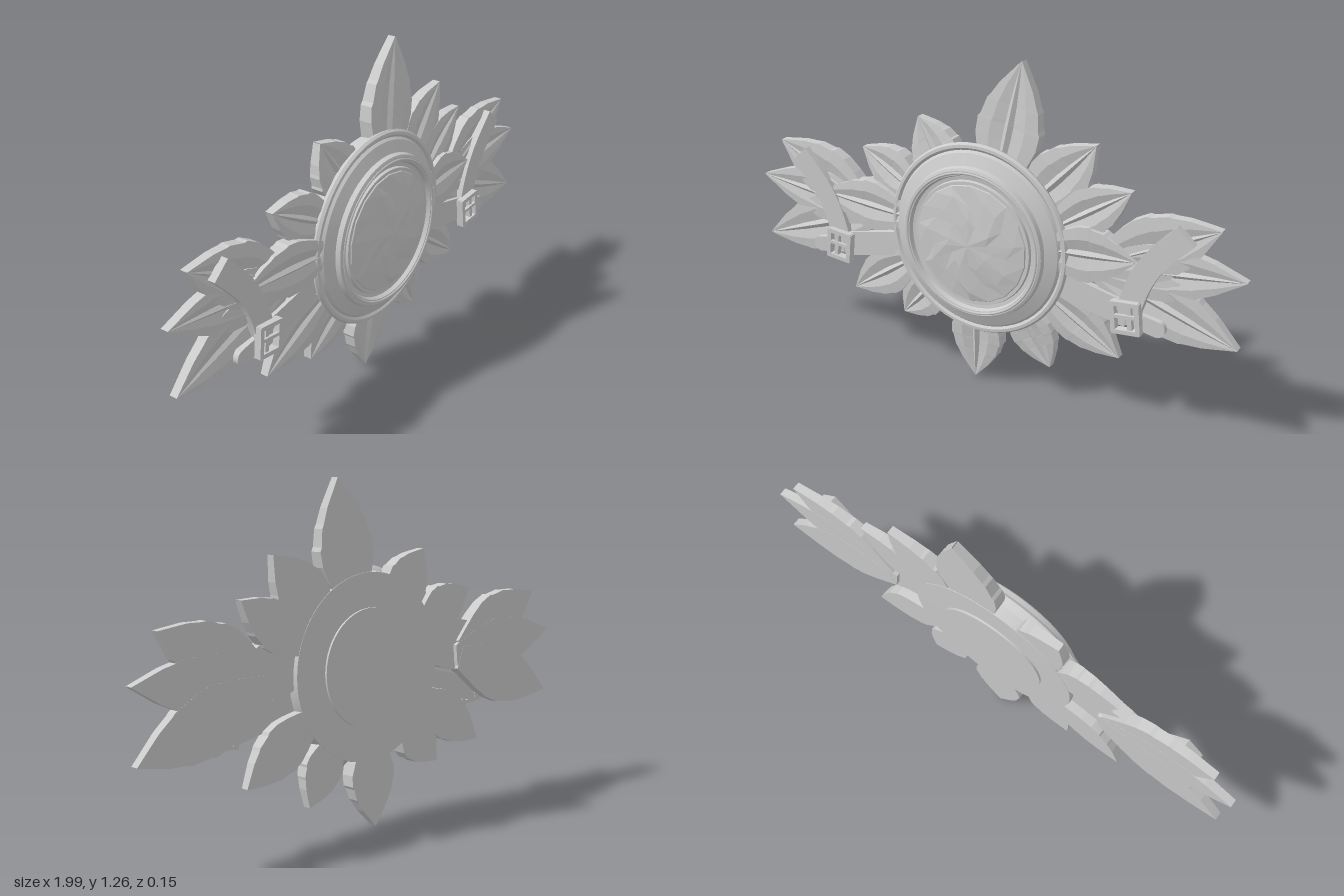
import * as THREE from 'three';
import { toCreasedNormals } from 'three/addons/utils/BufferGeometryUtils.js';

const CX = 0.01, CY = 0.59; // medallion centre

// Leaf outline: [position along the leaf, share of the half width], with small teeth
const OUTLINE = [[0, 0.4], [0.12, 0.62], [0.25, 0.84], [0.38, 1], [0.5, 1.02], [0.53, 0.95], [0.66, 0.84],
  [0.69, 0.76], [0.8, 0.55], [0.83, 0.47], [0.93, 0.2], [1, 0.01]];
// Cross-section: [share of the width, height], a midrib with a groove either side
const SECTION = [[-1, 0], [-0.55, 0.004], [-0.14, -0.007], [0, 0.005], [0.14, -0.007], [0.55, 0.004], [1, 0]];

function leafGeometry(tipX, tipY, rootX, rootY, half, zRoot, zTip, back) {
  const pos = [];
  const dx = tipX - rootX, dy = tipY - rootY, len = Math.hypot(dx, dy);
  const nx = -dy / len, ny = dx / len;
  const at = (t, v, z) => [rootX + dx * t + nx * v, rootY + dy * t + ny * v, z];
  const quad = (a, b, c, d) => pos.push(...a, ...b, ...c, ...a, ...c, ...d);
  const front = OUTLINE.map(([t, w]) => SECTION.map(([s, h]) =>
    at(t, s * w * half, zRoot + (zTip - zRoot) * t + h * w)));
  const rear = OUTLINE.map(([t, w]) => [-1, 0, 1].map((s) => at(t, s * w * half, back)));
  const n = SECTION.length - 1;
  for (let i = 0; i < OUTLINE.length - 1; i++) {
    const f0 = front[i], f1 = front[i + 1], r0 = rear[i], r1 = rear[i + 1];
    for (let j = 0; j < n; j++) quad(f0[j], f1[j], f1[j + 1], f0[j + 1]);
    for (let j = 0; j < 2; j++) quad(r0[j + 1], r1[j + 1], r1[j], r0[j]);
    quad(r0[0], r1[0], f1[0], f0[0]);
    quad(f0[n], f1[n], r1[2], r0[2]);
  }
  quad(rear[0][0], front[0][0], front[0][n], rear[0][2]); // root end
  const g = new THREE.BufferGeometry();
  g.setAttribute('position', new THREE.Float32BufferAttribute(pos, 3));
  g.computeVertexNormals();
  return g;
}

// Flat band of constant width along a smooth path
function bandGeometry(points, half, z, depth) {
  const curve = new THREE.SplineCurve(points.map((p) => new THREE.Vector2(...p)));
  const left = [], right = [];
  for (let i = 0; i <= 12; i++) {
    const p = curve.getPoint(i / 12), t = curve.getTangent(i / 12);
    left.push(new THREE.Vector2(p.x - t.y * half, p.y + t.x * half));
    right.unshift(new THREE.Vector2(p.x + t.y * half, p.y - t.x * half));
  }
  const g = new THREE.ExtrudeGeometry(new THREE.Shape([...left, ...right]), { depth, bevelEnabled: false });
  return g.translate(0, 0, z);
}

export function createModel() {
  const model = new THREE.Group();
  model.name = 'leafBrooch';
  const metal = new THREE.MeshStandardMaterial({ color: 0xcccccc });
  metal.name = 'pale grey';
  const add = (name, geometry, parent = model) => {
    const m = new THREE.Mesh(geometry, metal);
    m.name = name;
    parent.add(m);
    return m;
  };

  // Leaves around the medallion: tip x, tip y, root x, root y, half width
  const ring = [
    [0.16, 1.26, 0.08, 0.8, 0.12], [0.445, 1.01, 0.2, 0.75, 0.105], [0.58, 0.87, 0.3, 0.69, 0.085],
    [0.565, 0.245, 0.27, 0.45, 0.09], [0.295, 0.13, 0.17, 0.36, 0.085], [-0.02, 0.005, 0, 0.34, 0.102],
    [-0.34, 0.195, -0.17, 0.38, 0.09], [-0.57, 0.245, -0.27, 0.45, 0.09], [-0.51, 0.84, -0.25, 0.71, 0.09],
    [-0.26, 1.0, -0.12, 0.78, 0.1],
  ];
  ring.forEach((l, i) => add('ringLeaf', leafGeometry(...l, 0.005, -0.03, -0.06 - 0.0004 * (i % 3))));

  // Long leaves lying over the straps
  add('longLeafLeft', leafGeometry(0.62, 0.635, 0.28, 0.62, 0.1, 0.02, -0.005, -0.045));
  add('longLeafRight', leafGeometry(-0.685, 0.635, -0.28, 0.62, 0.095, 0.02, -0.005, -0.045));

  // Side sprays of three leaves, each with strap and buckle
  for (const s of [1, -1]) {
    const side = new THREE.Group();
    side.name = s > 0 ? 'leftSpray' : 'rightSpray';
    model.add(side);
    const leaves = [[0.9, 0.8, 0.48, 0.6, 0.112], [0.997, 0.64, 0.45, 0.585, 0.1], [0.985, 0.39, 0.47, 0.575, 0.112]];
    leaves.forEach(([tx, ty, rx, ry, h], i) => add('sprayLeaf',
      leafGeometry(s * tx, ty, s * rx, ry, h, -0.008 - 0.003 * i, -0.03, -0.06 - 0.0005 * i), side));

    const flip = (pts) => pts.map(([x, y]) => [s * x, y]);
    add('upperStrap', bandGeometry(flip([[0.79, 0.77], [0.69, 0.66], [0.635, 0.56], [0.6, 0.44]]), 0.043, -0.025, 0.03), side);
    add('innerStrap', bandGeometry(flip([[0.6, 0.435], [0.46, 0.465], [0.31, 0.5]]), 0.047, -0.025, 0.025), side);
    add('strapTail', bandGeometry(flip([[0.6, 0.43], [0.71, 0.41]]), 0.03, -0.025, 0.026), side);
    add('strapTip', new THREE.CylinderGeometry(0.03, 0.03, 0.026, 16).rotateX(Math.PI / 2)
      .translate(s * 0.71, 0.41, -0.012), side);

    // Buckle frame with crossbar and prong
    const buckle = new THREE.Group();
    buckle.name = 'buckle';
    buckle.position.set(s * 0.602, 0.435, 0);
    buckle.rotation.z = s * 0.1;
    side.add(buckle);
    const bar = (name, w, h, d, x, y, z) => add(name, new THREE.BoxGeometry(w, h, d).translate(x, y, z), buckle);
    for (const k of [1, -1]) {
      bar('frameSide', 0.017, 0.115, 0.03, k * 0.046, 0, 0.013);
      bar('frameEnd', 0.1, 0.016, 0.03, 0, k * 0.052, 0.013);
    }
    bar('crossbar', 0.016, 0.1, 0.02, s * 0.014, 0, 0.011);
    bar('prong', 0.09, 0.012, 0.012, 0, 0.006, 0.022);
  }

  // Turned medallion: back plate, flared rim, bezel and groove, as [radius, z]
  const profile = [[0, -0.071], [0.215, -0.071], [0.215, -0.063], [0.34, -0.062], [0.345, -0.02], [0.36, -0.005],
    [0.365, 0.008], [0.358, 0.018], [0.347, 0.019], [0.338, 0.012], [0.33, 0.022], [0.288, 0.04], [0.284, 0.058],
    [0.275, 0.062], [0.258, 0.06], [0.252, 0.045], [0.238, 0.043], [0.235, 0.054], [0.22, 0.054], [0.21, 0.04], [0, 0.04]];
  const plate = new THREE.LatheGeometry(profile.map((p) => new THREE.Vector2(...p)), 64);
  add('medallion', toCreasedNormals(plate.rotateX(Math.PI / 2).translate(CX, CY, 0), 0.45));

  // Thin raised wire in the bezel
  add('bezelWire', new THREE.TorusGeometry(0.267, 0.005, 6, 64).translate(CX, CY, 0.061));

  // Faceted gem, its rings made slightly uneven
  const dome = [[0.227, 0.05], [0.222, 0.058], [0.165, 0.067], [0.085, 0.075], [0, 0.079]];
  const gem = new THREE.LatheGeometry(dome.map((p) => new THREE.Vector2(...p)), 18).rotateX(Math.PI / 2);
  const p = gem.attributes.position;
  for (let i = 0; i < p.count; i++) {
    const x = p.getX(i), y = p.getY(i), r = Math.hypot(x, y);
    if (r < 0.01 || r > 0.2) continue;
    const a = Math.atan2(y, x), k = 1 + 0.13 * Math.sin(a * 7 + r * 40);
    p.setXYZ(i, x * k, y * k, p.getZ(i) + 0.002 * Math.sin(a * 5 + r * 60));
  }
  const facets = gem.toNonIndexed();
  facets.computeVertexNormals();
  add('gem', facets.translate(CX, CY, 0));

  return model;
}
